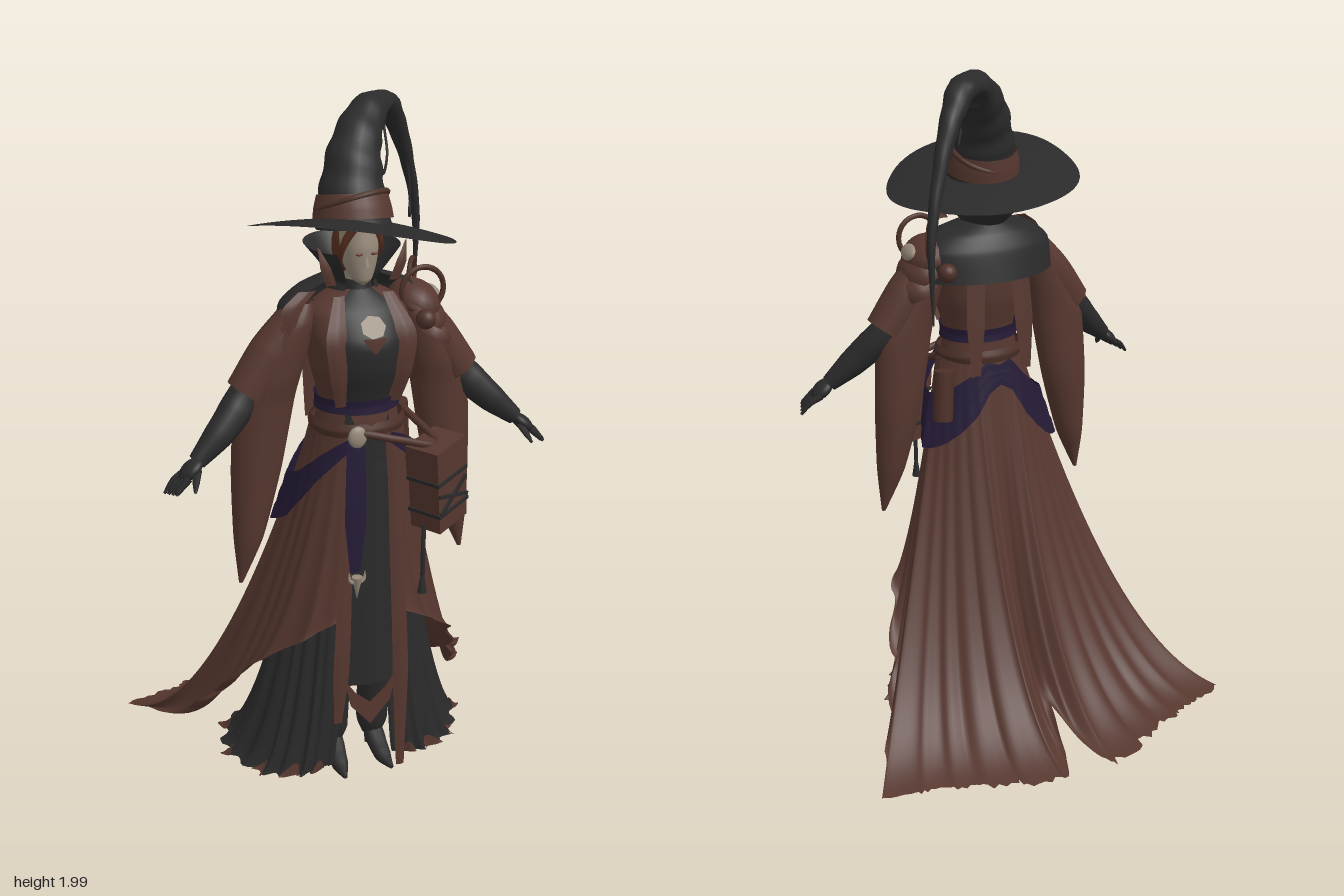
import * as THREE from 'three';
import { mergeVertices } from 'three/addons/utils/BufferGeometryUtils.js';

const V = (x, y, z) => new THREE.Vector3(x, y, z);
const paint = (name, color) => {
  const m = new THREE.MeshStandardMaterial({ color, side: THREE.DoubleSide });
  m.name = name;
  return m;
};

export function createModel() {
  const group = new THREE.Group();
  const black = paint('black cloth', 0x2a2a2a), brown = paint('brown cloth', 0x56372f);
  const purple = paint('purple sash', 0x251b36), skin = paint('pale skin and bone', 0x978a7a);
  const hair = paint('auburn hair', 0x5a3022), leather = paint('dark leather', 0x4d3028);
  const red = paint('eye and lip red', 0x6b3a30);
  let seed = 7;
  const rand = () => (seed = (seed * 16807) % 2147483647) / 2147483647;

  const add = (name, geo, mat, pos, scale, rot) => {
    const m = new THREE.Mesh(geo, mat);
    m.name = name;
    if (pos) m.position.set(...pos);
    if (scale) m.scale.set(...scale);
    if (rot) m.rotation.set(...rot);
    group.add(m);
    return m;
  };
  // surface over (a, b) in 0..1
  const grid = (na, nb, fn) => {
    const p = [], idx = [];
    for (let i = 0; i <= na; i++) for (let j = 0; j <= nb; j++) {
      p.push(...fn(i / na, j / nb).toArray());
      if (i < na && j < nb) {
        const k = i * (nb + 1) + j;
        idx.push(k, k + 1, k + nb + 1, k + 1, k + nb + 2, k + nb + 1);
      }
    }
    let g = new THREE.BufferGeometry();
    g.setAttribute('position', new THREE.Float32BufferAttribute(p, 3));
    g.setIndex(idx);
    g = mergeVertices(g, 1e-5);
    g.computeVertexNormals();
    return g;
  };
  // elliptical rings [y, cx, cz, rx, rz], swept between two angles (0 = front)
  const loft = (rings, a0 = 0, a1 = Math.PI * 2, na = 36) => {
    const c = new THREE.CatmullRomCurve3(rings.map(r => V(r[0], r[1], r[2])), false, 'catmullrom', 0.3);
    const d = new THREE.CatmullRomCurve3(rings.map(r => V(r[0], r[3], r[4])), false, 'catmullrom', 0.3);
    return grid(na, 24, (u, v) => {
      const a = u === 1 && a1 - a0 > 6.28 ? a0 : a0 + (a1 - a0) * u, p = c.getPoint(v), r = d.getPoint(v);
      return V(p.y + r.y * Math.sin(a), p.x, p.z + r.z * Math.cos(a));
    });
  };
  // round limb with changing radius
  const taper = (pts, radii, segs = 24, sides = 12, wrinkle = 0) => {
    const c = new THREE.CatmullRomCurve3(pts.map(p => V(...p)));
    const f = c.computeFrenetFrames(segs), n = radii.length - 1;
    return grid(segs, sides, (u, v) => {
      const i = Math.round(u * segs), k = Math.min(n - 1, Math.floor(u * n)), a = (v % 1) * Math.PI * 2;
      const r = THREE.MathUtils.lerp(radii[k], radii[k + 1], u * n - k) * (1 + wrinkle * Math.sin(u * 70 + 2 * Math.sin(a)));
      return c.getPoint(u).addScaledVector(f.normals[i], r * Math.cos(a)).addScaledVector(f.binormals[i], r * Math.sin(a));
    });
  };
  const ribbon = (pts, widths, segs = 16) => {
    const c = new THREE.CatmullRomCurve3(pts.map(p => V(...p))), n = widths.length - 1;
    return grid(segs, 6, (u, v) => {
      const k = Math.min(n - 1, Math.floor(u * n)), w = THREE.MathUtils.lerp(widths[k], widths[k + 1], u * n - k);
      return c.getPoint(u).add(V((v - 0.5) * w, 0, -Math.abs(v - 0.5) * w * 0.2));
    });
  };
  const ball = new THREE.SphereGeometry(1, 24, 16);

  // torso: dark bodice in front, brown coat around it
  const torso = [[1.0, 0, .22, .15, .11], [1.12, 0, .22, .122, .1], [1.2, 0, .22, .11, .095], [1.3, 0, .225, .135, .125],
    [1.38, 0, .225, .145, .13], [1.46, 0, .21, .14, .095], [1.51, 0, .2, .055, .055]];
  add('bodice', loft(torso, -.6, .6, 14), black);
  add('coatBody', loft(torso, .6, Math.PI * 2 - .6), brown);
  add('neckline', new THREE.CircleGeometry(.036, 7), skin, [-.002, 1.43, .345], [1, .95, 1], [-.6, 0, 0]);
  add('necklineTrim', ribbon([[0, 1.402, .361], [0, 1.385, .363], [0, 1.36, .363]], [.07, .05, .006], 6), brown);
  add('waistCincher', loft([[1.175, 0, .22, .122, .106], [1.195, 0, .22, .119, .104], [1.215, 0, .22, .122, .107]]), purple);
  add('cincherPlate', ribbon([[0, 1.175, .332], [0, 1.16, .334], [0, 1.14, .336]], [.11, .1, .08], 6), brown);
  add('belt', loft([[1.11, 0, .22, .133, .116], [1.13, 0, .22, .138, .12], [1.15, 0, .22, .13, .113]]), leather);
  add('buckle', ball, skin, [-.045, 1.12, .345], [.027, .032, .014]);

  // skirts: each column falls from the waist to a point on the hem
  const skirtPoint = (curve, side, s, u, out = 0, folds = 85) => {
    const h = curve.getPoint(s), a = .35 + (Math.PI - .35) * s;
    const w = V((.13 + out) * Math.sin(a), 1.14, .22 + (.108 + out) * Math.cos(a));
    const c = V(w.x + (h.x - w.x) * .6, h.y + .03, w.z + (h.z - w.z) * .36);
    const p = w.clone().multiplyScalar((1 - u) ** 2).addScaledVector(c, 2 * u * (1 - u)).addScaledVector(h, u * u);
    const f = .013 * u * Math.sin(s * folds) * Math.max(0, Math.sin(Math.PI * s)) ** .5 + out;
    p.x = Math.max(0, p.x + Math.sin(a) * f) * side;
    p.z += Math.cos(a) * f;
    p.y = Math.max(.004, p.y + .35 * Math.max(0, f) * u * (1 - s));
    return p;
  };
  const hem = pts => new THREE.CatmullRomCurve3(pts.map(p => V(...p)), false, 'catmullrom', .2);
  const outer = hem([[.1, .56, .35], [.2, .5, .32], [.325, .38, .2], [.4, .22, .05], [.48, .07, -.1], [.59, .012, -.3],
    [.46, .008, -.34], [.35, .006, -.375], [.22, .006, -.43], [.085, .006, -.485], [.035, .03, -.38], [0, .1, -.24]]);
  const inner = hem([[.1, .04, .3], [.2, .03, .31], [.31, .03, .26], [.39, .04, .12], [.35, .05, -.03], [.2, .07, -.1], [0, .08, -.1]]);
  for (const side of [1, -1]) {
    const torn = Array.from({ length: 121 }, () => 1 - .03 * rand());
    add('overskirt', grid(120, 28, (s, v) => skirtPoint(outer, side, s, v * (s > .85 ? 1 : torn[Math.round(s * 120)]))), brown);
    add('underskirt', grid(90, 20, (s, v) => skirtPoint(inner, side, s, v * torn[Math.round(s * 90)], -.008, 80)), black);
    for (const s0 of [.06, .2, .33, .47, .62]) { // tattered brown patches at the lower hem
      add('hemPatch', grid(8, 8, (a, v) => skirtPoint(inner, side, s0 + .06 * a,
        1 - (.04 + .13 * torn[Math.round(a * 8)] * Math.sin(Math.PI * a)) * (1 - v), -.003, 80)), brown);
    }
    // draped hip sash
    add('hipSash', grid(60, 8, (s, v) => {
      const mid = .03 + (side < 0 ? .085 : .065) * Math.sin(Math.PI * Math.min(1, s * 1.1));
      const p = skirtPoint(outer, side, s, Math.max(0, mid + (v - .5) * (.03 + .05 * Math.sin(Math.PI * s))), .012);
      return p.add(V(0, .004 * Math.sin(v * 18), 0));
    }), purple);
    // coat front edges and back tails
    add('coatEdge', ribbon([[side * .06, 1.12, .335], [side * .075, .8, .345], [side * .09, .45, .358], [side * .1, side > 0 ? .03 : .22, .35]],
      [.03, .035, .045, .05, .025]), brown);
    add('lapel', ribbon([[side * .07, 1.5, .27], [side * .1, 1.4, .335], [side * .095, 1.3, .338], [side * .08, 1.2, .312]], [.03, .06, .05, .03]), brown);
    add('backTail', ribbon([[side * .07, 1.42, .1], [side * .08, 1.25, .085], [side * .085, 1.09, .075]], [.06, .06, .03]), brown);

    // hanging sleeve, shoulder to pointed cuff
    add('sleeve', loft([[1.48, side * .15, .2, .03, .04], [1.42, side * .18, .2, .062, .065], [1.28, side * .235, .2, .077, .065],
      [1.2, side * .262, .195, .085, .06], [1.0, side * .287, .19, .072, .058], [.8, side * .315, .195, .043, .042],
      [.66, side * .342, .2, .006, .006]], 0, Math.PI * 2, 28), brown);
    add('upperSleeve', taper([[side * .16, 1.43, .2], [side * .24, 1.34, .2], [side * .315, 1.235, .205]], [.06, .064, .06]), brown);
    // arm, palm and fingers
    add('arm', taper([[side * .2, 1.39, .2], [side * .31, 1.24, .2], [side * .39, 1.155, .235], [side * .475, 1.08, .262]],
      [.04, .046, .047, .04, .025]), black);
    add('palm', ball, black, [side * .495, 1.063, .27], [.04, .02, .035], [0, 0, side * -.7]);
    for (let i = 0; i < 4; i++) {
      const z = .248 + i * .017;
      add('finger', taper([[side * .508, 1.05, z], [side * .54, 1.032 - i * .004, z + .006], [side * (.568 - i * .007), 1.0 + i * .004, z + .012]],
        [.011, .009, .004], 8, 6), black);
    }
    add('thumb', taper([[side * .48, 1.065, .285], [side * .492, 1.04, .31], [side * .5, 1.02, .33]], [.012, .01, .004], 8, 6), black);

    // legs and heeled boots
    add('leg', taper([[side * .07, .8, .22], [side * .07, .45, .23], [side * .065, .12, .2], [side * .065, .07, .2]], [.07, .055, .048, .03]), black);
    add('boot', taper([[side * .065, .1, .19], [side * .067, .06, .23], [side * .07, .03, .285], [side * .075, .022, .345]], [.03, .032, .026, .006], 12, 10), black);
    add('bootHeel', new THREE.CylinderGeometry(.016, .008, .09, 8), black, [side * .065, .05, .168]);

    // collar tips and eyes
    add('collarTip', ribbon([[side * .09, 1.53, .265], [side * .108, 1.58, .27], [side * .125, 1.635, .255]], [.03, .03, .003], 8), brown);
    add('eye', ball, red, [side * .021, 1.615, .288], [.01, .004, .004]);
    add('hairLock', taper([[side * .03, 1.68, .265], [side * .053, 1.63, .25], [side * .05, 1.57, .22]], [.014, .01, .003], 10, 8), hair);
  }

  // front panel with a pointed trim, sash tail and pendant
  add('frontPanel', ribbon([[0, 1.11, .33], [0, .8, .335], [0, .5, .345], [0, .33, .345]], [.09, .1, .12, .14, .13]), black);
  const trim = new THREE.Shape([[-.085, .37], [-.06, .27], [0, .2], [.06, .27], [.085, .37], [.045, .31], [0, .27], [-.045, .31]].map(p => new THREE.Vector2(...p)));
  add('panelTrim', new THREE.ExtrudeGeometry(trim, { depth: .008, bevelEnabled: false }), brown, [0, 0, .345]);
  add('sashTail', ribbon([[-.05, 1.11, .35], [-.052, .95, .362], [-.058, .72, .37]], [.05, .06, .065, .03]), purple);
  add('pendant', new THREE.ConeGeometry(.016, .07, 8), skin, [-.055, .675, .375], null, [Math.PI, 0, 0]);
  for (const k of [1, -1]) add('pendantHorn', taper([[-.055, .69, .375], [-.055 + k * .02, .7, .375], [-.055 + k * .024, .725, .375]], [.007, .006, .001], 8, 6), skin);

  // head, hair and neck
  add('neck', new THREE.CylinderGeometry(.03, .036, .12, 16), skin, [0, 1.52, .21]);
  add('face', loft([[1.525, 0, .265, .004, .004], [1.54, 0, .25, .028, .03], [1.58, 0, .235, .045, .05], [1.63, 0, .23, .052, .058], [1.7, 0, .22, .05, .055]]), skin);
  add('nose', new THREE.ConeGeometry(.009, .035, 6), skin, [0, 1.598, .286]);
  add('lips', ball, red, [0, 1.563, .277], [.013, .004, .005]);
  add('hairCap', ball, hair, [0, 1.62, .19], [.06, .085, .06]);

  // open flared collar, choker and shoulder mantle
  add('collar', loft([[1.47, 0, .2, .085, .075], [1.525, 0, .185, .062, .07], [1.57, 0, .18, .09, .115], [1.62, 0, .175, .13, .15]], .7, Math.PI * 2 - .7), black);
  add('choker', loft([[1.46, 0, .215, .06, .08], [1.5, 0, .21, .045, .05], [1.535, 0, .21, .038, .04]]), black);
  add('mantle', loft([[1.54, 0, .185, .07, .07], [1.51, 0, .19, .16, .105], [1.465, 0, .19, .212, .13], [1.38, 0, .185, .218, .145]], 1.15, Math.PI * 2 - 1.15), black);
  add('mantleTrim', ribbon([[-.15, 1.515, .245], [-.2, 1.47, .262], [-.2, 1.38, .262]], [.05, .06, .005]), brown);

  // pauldron on the left shoulder
  for (let i = 0; i < 3; i++) add('pauldronPlate', new THREE.SphereGeometry(1, 20, 8, 0, Math.PI * 2, 0, Math.PI / 2), brown,
    [.175 + i * .02, 1.44 - i * .045, .2], [.075 - i * .003, .065, .09], [0, 0, -.5]);
  add('pauldronPatch', ball, skin, [.235, 1.462, .2], [.014, .025, .038], [0, 0, .5]);
  add('pauldronRing', new THREE.TorusGeometry(.062, .008, 8, 28), leather, [.18, 1.49, .25]);
  add('pauldronRing', new THREE.TorusGeometry(.05, .007, 8, 28), leather, [.19, 1.5, .15], null, [0, 1, 0]);
  for (const z of [.08, .3]) add('pauldronBall', ball, leather, [.17, 1.42, z], [.028, .028, .028]);

  // satchel with straps and a tassel
  const bag = new THREE.Group();
  bag.name = 'satchel';
  bag.position.set(.2, .95, .34);
  bag.rotation.set(0, .55, .12);
  group.add(bag);
  const box = (name, size, mat, pos, rz = 0) => bag.add(add(name, new THREE.BoxGeometry(...size), mat, pos, null, [0, 0, rz]));
  box('satchelBody', [.135, .25, .1], brown, [0, 0, 0]);
  box('satchelFlap', [.141, .09, .108], brown, [0, .085, 0]);
  for (const r of [.5, -.35]) box('satchelStrap', [.145, .01, .008], black, [0, -.03, .053], r);
  for (const r of [.03, -.07]) box('satchelBand', [.143, .01, .11], black, [0, r, 0]);
  add('satchelHanger', taper([[-.03, 1.13, .345], [.08, 1.1, .36], [.19, 1.07, .35], [.15, 1.13, .2]], [.011, .011, .011], 20, 8), leather);
  add('tasselCord', taper([[.135, .85, .4], [.13, .78, .41], [.13, .7, .41]], [.007, .007, .007], 10, 6), black);
  add('tassel', new THREE.ConeGeometry(.014, .09, 8), black, [.13, .69, .41]);
  add('scrollPouch', new THREE.CylinderGeometry(.03, .03, .15, 16), leather, [.18, 1.04, .1], null, [.1, 0, .1]);

  // hat: tilted sagging brim, bent crown, band and chain
  add('hatBrim', grid(64, 16, (u, v) => {
    const a = (u % 1) * Math.PI * 2, r = .02 + .98 * v, wave = 1 + .015 * Math.sin(a * 5) * v;
    const x = .283 * r * wave * Math.sin(a), z = .275 * r * wave * Math.cos(a);
    return V(x - .01, 1.69 - .145 * x + .17 * z - .03 * v * v + .012 * Math.cos(2 * a + 1.2) * v, z + .203);
  }), black);
  add('hatCrown', taper([[0, 1.66, .185], [.005, 1.77, .165], [.035, 1.87, .115], [.095, 1.938, .05], [.165, 1.952, -.015], [.225, 1.885, -.065],
    [.28, 1.765, -.105], [.325, 1.6, -.14], [.335, 1.36, -.16]],
    [.103, .087, .07, .054, .042, .03, .02, .013, .002], 72, 18, .035), black);
  add('hatBand', taper([[0, 1.685, .185], [.001, 1.715, .178], [.003, 1.75, .17]], [.11, .106, .097], 8, 28), brown);
  add('hatBandCord', new THREE.TorusGeometry(.1, .008, 6, 32), leather, [0, 1.73, .175], null, [Math.PI / 2 - .4, .15, 0]);
  add('hatChain', taper([[.08, 1.83, .15], [.12, 1.78, .1], [.165, 1.82, .02], [.17, 1.91, -.02], [.23, 1.85, -.07], [.275, 1.75, -.09], [.285, 1.65, -.09]],
    [.004, .004, .004], 48, 6), black);
  add('chainRing', new THREE.TorusGeometry(.02, .004, 6, 20), black, [.285, 1.625, -.09], null, [0, 1.1, 0]);
  return group;
}
